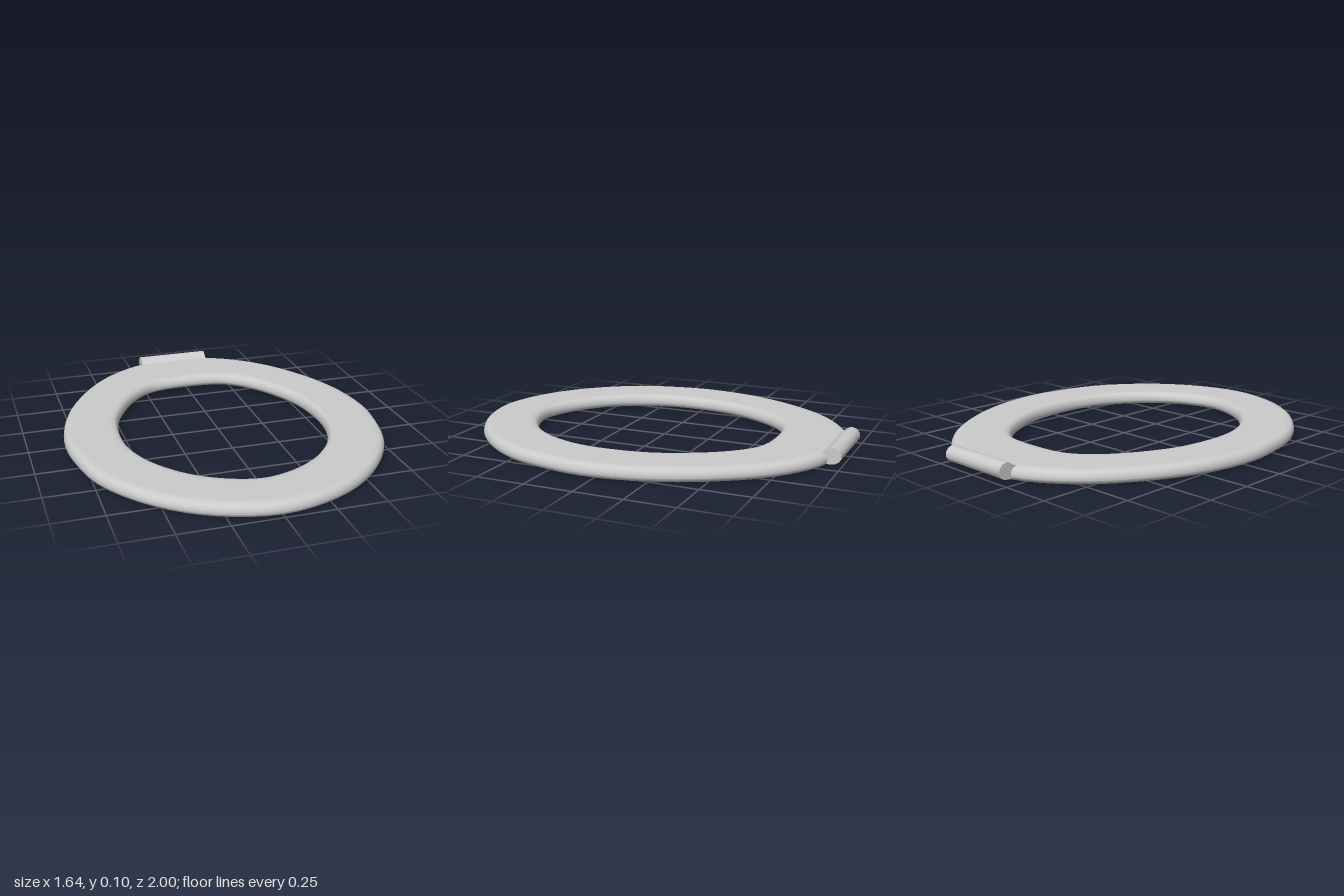
import * as THREE from 'three';
import { toCreasedNormals } from 'three/addons/utils/BufferGeometryUtils.js';

const material = new THREE.MeshStandardMaterial({ color: 0xcccccc });

// Closed outline from the points of one half (x, z), mirrored across x = 0
function outline(half, count) {
  const mirrored = half.slice(1, -1).reverse().map(([x, z]) => [-x, z]);
  const points = [...half, ...mirrored].map(([x, z]) => new THREE.Vector3(x, 0, z));
  return new THREE.CatmullRomCurve3(points, true).getPoints(count).slice(0, count);
}

// Ring lofted between the outer and inner outlines with a rounded section
function ringGeometry() {
  const count = 78;
  const outer = outline([[0, -0.955], [0.2, -0.935], [0.36, -0.855], [0.5, -0.735], [0.61, -0.59],
    [0.72, -0.39], [0.79, -0.18], [0.82, 0.05], [0.8, 0.24], [0.74, 0.47], [0.6, 0.69],
    [0.42, 0.855], [0.22, 0.955], [0, 0.997]], count);
  const inner = outline([[0, -0.61], [0.18, -0.593], [0.26, -0.552], [0.36, -0.45], [0.45, -0.3],
    [0.51, -0.14], [0.533, 0.06], [0.52, 0.22], [0.47, 0.37], [0.4, 0.48], [0.31, 0.575],
    [0.21, 0.643], [0.1, 0.69], [0, 0.708]], count);

  // Inset from the edge and height, bottom to top
  const edge = [[0.05, 0], [0.036, 0], [0.02, 0.003], [0.006, 0.012], [0, 0.026], [0.003, 0.042],
    [0.01, 0.056], [0.022, 0.065], [0.04, 0.069], [0.06, 0.07]];
  const n = edge.length * 2;
  const position = [], index = [];
  for (let i = 0; i < count; i++) {
    const dir = inner[i].clone().sub(outer[i]).normalize();
    for (const [d, y] of edge) {
      const p = outer[i].clone().addScaledVector(dir, d);
      position.push(p.x, y, p.z);
    }
    for (const [d, y] of [...edge].reverse()) {
      const p = inner[i].clone().addScaledVector(dir, -d);
      position.push(p.x, y, p.z);
    }
    for (let j = 0; j < n; j++) {
      const a = i * n + j, b = i * n + (j + 1) % n;
      const k = ((i + 1) % count) * n;
      const c = k + j, d = k + (j + 1) % n;
      index.push(a, b, c, b, d, c);
    }
  }
  const geometry = new THREE.BufferGeometry();
  geometry.setAttribute('position', new THREE.Float32BufferAttribute(position, 3));
  geometry.setIndex(index);
  geometry.computeVertexNormals();
  return geometry;
}

// Hinge barrel with a small fillet running onto the ring
function hingeGeometry() {
  const width = 0.4;
  // Profile as (distance behind the centre, height)
  const profile = [[0.89, 0.015], [0.94, 0.012], [0.97, 0.015], [0.989, 0.026], [1, 0.046],
    [0.997, 0.07], [0.982, 0.088], [0.957, 0.096], [0.937, 0.09], [0.923, 0.078],
    [0.91, 0.071], [0.89, 0.067]];
  const shape = new THREE.Shape(profile.map(([z, y]) => new THREE.Vector2(z, y)));
  const geometry = new THREE.ExtrudeGeometry(shape, { depth: width, bevelEnabled: false });
  geometry.translate(0, 0, -width / 2);
  geometry.rotateY(Math.PI / 2);
  return toCreasedNormals(geometry, 0.9);
}

export function createModel() {
  const group = new THREE.Group();
  group.name = 'toiletSeat';
  const parts = { seatRing: ringGeometry(), hinge: hingeGeometry() };
  for (const [name, geometry] of Object.entries(parts)) {
    const mesh = new THREE.Mesh(geometry, material);
    mesh.name = name;
    group.add(mesh);
  }
  return group;
}
